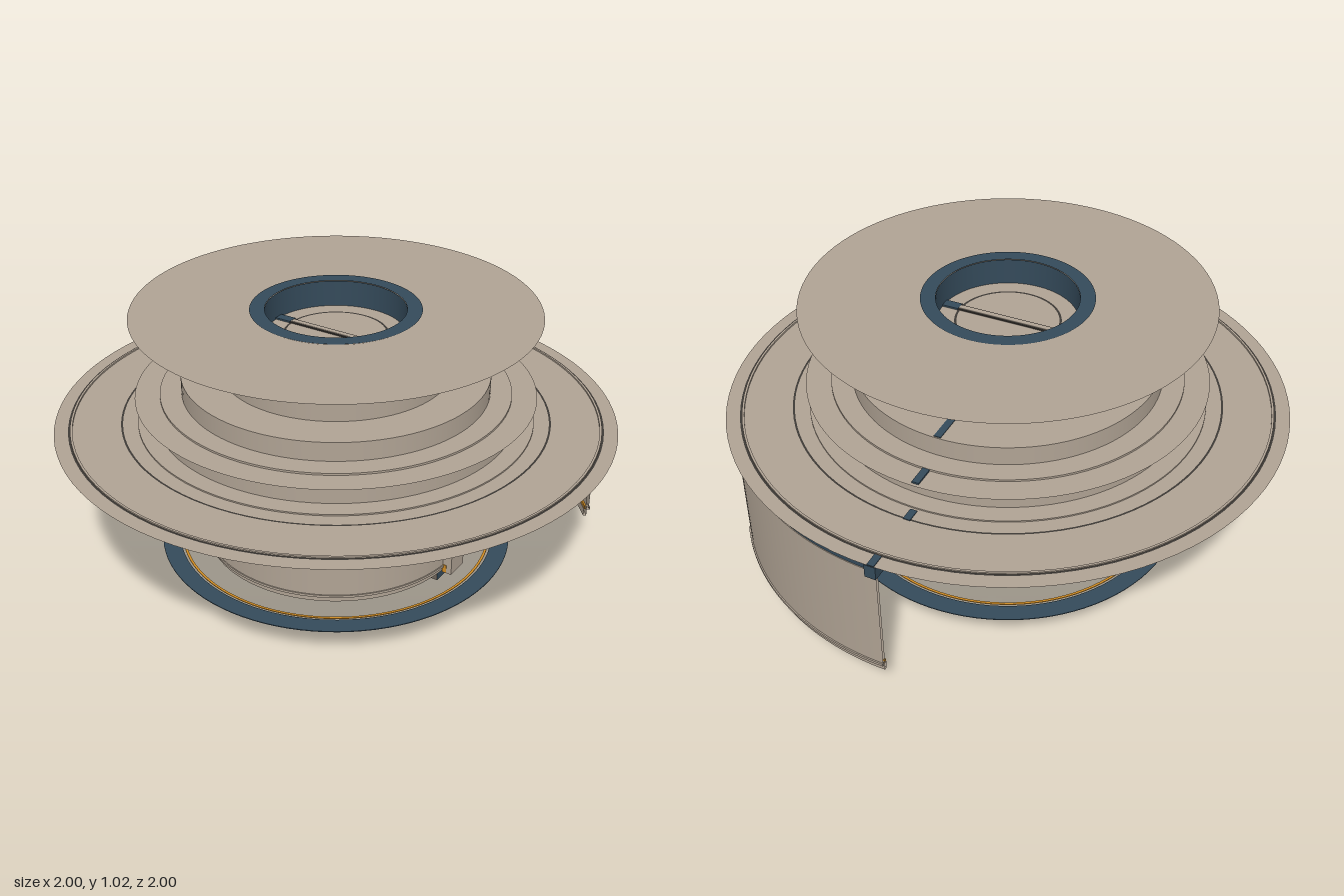
import * as THREE from 'three';
import { mergeGeometries } from 'three/addons/utils/BufferGeometryUtils.js';

const mat = (name, color) => {
  const m = new THREE.MeshStandardMaterial({ color, side: THREE.DoubleSide });
  m.name = name;
  return m;
};
const tan = mat('warm grey shell', 0xb0a394);
const navy = mat('slate blue trim', 0x344a5a);
const orange = mat('amber seal', 0xd08c24);
const dark = mat('dark groove', 0x3e3a36);
const umber = mat('dark taupe fittings', 0x756b61);

const DEG = Math.PI / 180;

// Rounded rectangle outline with half sizes w, h and corner radius r
const rounded = (path, w, h, r) => {
  path.absarc(w - r, h - r, r, 0, Math.PI / 2);
  path.absarc(r - w, h - r, r, Math.PI / 2, Math.PI);
  path.absarc(r - w, r - h, r, Math.PI, Math.PI * 1.5);
  path.absarc(w - r, r - h, r, Math.PI * 1.5, Math.PI * 2);
  path.closePath();
  return path;
};
const extrude = (shape, depth) => new THREE.ExtrudeGeometry(shape, { depth, bevelEnabled: false });

// Sharp-edged shell of revolution: every profile step is its own smooth band
const shell = (profile, start = 0, length = 360, segments = 96) => {
  const bands = [];
  for (let i = 0; i < profile.length - 1; i++) {
    const pair = [profile[i], profile[i + 1]].map(([r, y]) => new THREE.Vector2(r, y));
    bands.push(new THREE.LatheGeometry(pair, segments, start * DEG, length * DEG));
  }
  return mergeGeometries(bands);
};
const wall = (r0, r1, y0, y1) => [[r0, y0], [r1, y0], [r1, y1], [r0, y1], [r0, y0]];
const ring = (r0, r1, y) => shell([[r1, y], [r0, y]]);

export function createModel() {
  const model = new THREE.Group();

  const add = (name, geometry, material, x = 0, y = 0, z = 0) => {
    const mesh = new THREE.Mesh(geometry, material);
    mesh.name = name;
    mesh.position.set(x, y, z);
    model.add(mesh);
    return mesh;
  };
  const box = (name, material, w, h, d, x, y, z) => add(name, new THREE.BoxGeometry(w, h, d), material, x, y, z);

  // Stepped ceiling housing
  add('steppedHousing', shell([
    [0.707, 0.574], [0.707, 0.627], [0.642, 0.627], [0.642, 0.68], [0.607, 0.68], [0.607, 0.708],
    [0.624, 0.708], [0.624, 0.727], [0.548, 0.727], [0.548, 0.796], [0.408, 0.796], [0.408, 0.872],
    [0.28, 0.872], [0.28, 0.939], [0.26, 0.939], [0.26, 1.018],
  ]), tan);
  add('middleFlange', ring(0.607, 0.712, 0.72), tan);
  add('neckSeal', shell(wall(0.27, 0.283, 0.93, 0.942)), orange);

  // Top plate, collar and bore
  add('topPlate', ring(0.295, 0.716, 1.02), tan);
  add('topCollar', ring(0.247, 0.3, 1.023), navy);
  add('boreWall', shell([[0.247, 0.925], [0.247, 1.021]]), navy);
  add('boreFloor', ring(0, 0.247, 0.925), tan);
  add('boreGroove', ring(0.178, 0.186, 0.927), dark);
  box('boreBar', dark, 0.48, 0.004, 0.03, 0, 0.928, 0);
  box('boreBarCap', tan, 0.4, 0.004, 0.018, 0, 0.93, 0);
  for (const s of [-1, 1]) box('boreBarClip', navy, 0.06, 0.006, 0.036, s * 0.215, 0.93, 0);

  // Wide lower plate
  add('lowerPlate', ring(0.707, 1, 0.622), tan);
  add('plateLip', shell(wall(0.936, 0.944, 0.618, 0.628)), tan);
  for (const r of [0.948, 0.764]) add('plateGroove', ring(r - 0.004, r + 0.003, 0.6235), dark);
  add('plateSeal', ring(0.921, 0.935, 0.619), orange);

  // Flush alignment tabs along the back
  for (const [y, z, h, d] of [[0.624, -0.975, 0.003, 0.05], [0.624, -0.742, 0.003, 0.05], [0.722, -0.66, 0.008, 0.08], [0.797, -0.478, 0.003, 0.13]])
    box('alignmentTab', navy, 0.025, h, d, 0, y, z);

  // Drum, open over the rear quarter on the -x side
  const drum = (name, profile, material) => add(name, shell(profile, -90, 270), material);
  drum('drumWall', wall(0.472, 0.488, 0.15, 0.553), tan);
  drum('drumBottomLip', wall(0.462, 0.48, 0.126, 0.15), tan);
  drum('drumBead', wall(0.47, 0.492, 0.149, 0.158), tan);
  drum('drumSeal', wall(0.455, 0.461, 0.126, 0.135), orange);
  add('drumTopBand', shell(wall(0.455, 0.482, 0.553, 0.574)), navy);

  // Side pilasters with clip blocks
  for (const s of [-1, 1]) {
    box('pilaster', tan, 0.036, 0.43, 0.09, s * 0.502, 0.341, 0);
    box('pilasterBlock', umber, 0.044, 0.12, 0.094, s * 0.507, 0.506, 0);
    box('pilasterClip', navy, 0.04, 0.02, 0.07, s * 0.505, 0.575, 0);
  }
  box('pilasterSeal', orange, 0.016, 0.03, 0.002, 0.492, 0.144, 0.046);

  // Detached curved door at the back
  const door = (name, profile, material) => add(name, shell(profile, 127.5, 52.5, 32), material);
  door('doorPanel', wall(0.96, 0.971, 0.155, 0.57), tan);
  door('doorTopBand', wall(0.948, 0.968, 0.57, 0.62), navy);
  door('doorBottomLip', wall(0.952, 0.964, 0.125, 0.155), tan);
  door('doorBead', wall(0.962, 0.976, 0.152, 0.162), tan);
  door('doorSeal', wall(0.954, 0.961, 0.155, 0.168), orange);
  box('doorLatch', navy, 0.04, 0.05, 0.05, 0.005, 0.592, -0.972);
  box('doorHinge', navy, 0.05, 0.045, 0.035, 0.745, 0.596, -0.595).rotation.y = -52.5 * DEG;

  // Floating trim ring below the drum
  add('trimRing', shell(wall(0.585, 0.65, 0.123, 0.126)), navy);
  add('trimRingSeal', shell(wall(0.568, 0.577, 0.123, 0.126)), orange);

  // Rounded equipment tray inside the drum, with a round grille underneath
  const flat = (shape, depth) => extrude(shape, depth).rotateX(-Math.PI / 2);
  const trayRim = rounded(new THREE.Shape(), 0.24, 0.2, 0.1);
  trayRim.holes.push(rounded(new THREE.Path(), 0.21, 0.17, 0.08));
  add('equipmentTrayRim', flat(trayRim, 0.03), navy, 0, 0.15, 0);
  add('equipmentTray', flat(rounded(new THREE.Shape(), 0.212, 0.172, 0.08), 0.012), tan, 0, 0.157, 0);
  add('equipmentGrille', new THREE.CylinderGeometry(0.168, 0.168, 0.008, 48), dark, 0, 0.152, 0);
  for (const r of [0.05, 0.09, 0.13, 0.16]) add('grilleRing', ring(r, r + 0.008, 0.146), navy);

  // Posts carrying the tray
  for (const sx of [-1, 1])
    for (const sz of [-1, 1]) box('supportPost', navy, 0.03, 0.39, 0.03, sx * 0.2, 0.37, sz * 0.18);
  for (const [z, material] of [[-0.03, tan], [-0.08, tan], [-0.115, navy]])
    box('innerRail', material, 0.03, 0.42, 0.018, -0.44, 0.341, z);

  // Wedge-shaped bar under the drum
  const outline = [[-0.015, 0.125], [-0.005, 0.05], [0.14, 0.05], [0.14, 0.07], [0.045, 0.125]];
  const barShape = new THREE.Shape(outline.map(([u, v]) => new THREE.Vector2(u, v)));
  const bar = extrude(barShape, 0.89).translate(0, 0, -0.445).rotateY(Math.PI / 2);
  add('wedgeBar', bar, [navy, umber]);

  // Cover, grooves and bracket lying on the sloped back of the bar
  const onSlope = (name, material, width, height, depth, x, t) => {
    box(name, material, width, height, depth, x, 0.125 - 0.055 * t, -0.045 - 0.095 * t).rotation.x = -0.525;
  };
  onSlope('slopeCover', tan, 0.85, 0.004, 0.1, 0, 0.5);
  for (const t of [0.3, 0.7]) onSlope('slopeGroove', dark, 0.8, 0.007, 0.01, 0, t);
  onSlope('slopeBracket', navy, 0.025, 0.012, 0.1, -0.3, 0.5);

  // Rounded outline on the front of the bar
  const frame = rounded(new THREE.Shape(), 0.33, 0.03, 0.018);
  frame.holes.push(rounded(new THREE.Path(), 0.322, 0.022, 0.012));
  add('barFrame', extrude(frame, 0.004), tan, 0, 0.0885, 0.009).rotation.x = 0.133;

  // Hanging finial
  add('finialCone', new THREE.CylinderGeometry(0.006, 0.05, 0.03, 32), navy, 0, 0.023, 0);
  add('finialBase', new THREE.CylinderGeometry(0.05, 0.046, 0.006, 32), navy, 0, 0.005, 0);
  add('finialSeal', new THREE.CylinderGeometry(0.045, 0.045, 0.002, 32), orange, 0, 0.001, 0);

  return model;
}
